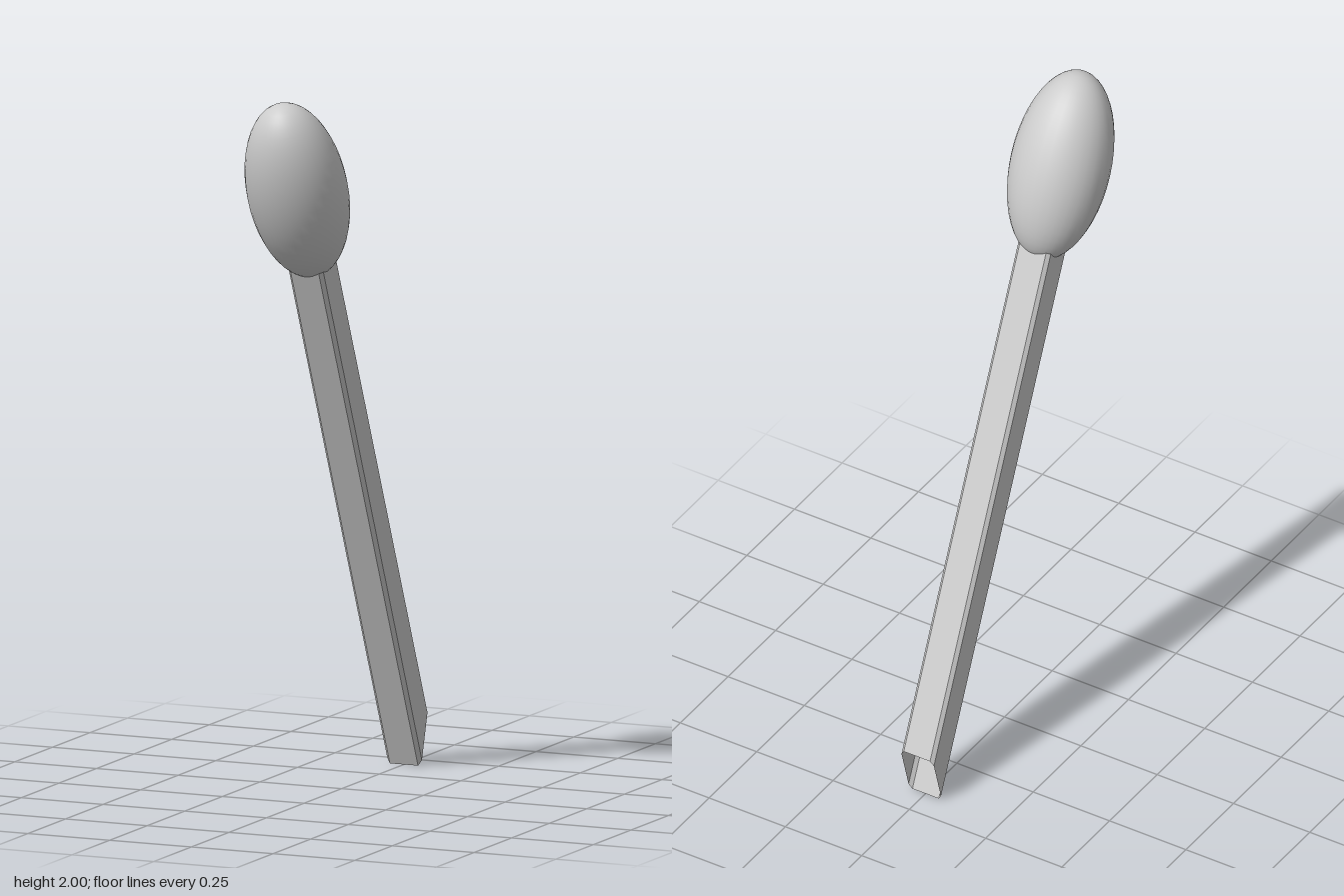
import * as THREE from 'three';

const material = () => new THREE.MeshStandardMaterial({ color: 0xcccccc });

// Hollow square stick with chamfered edges and a slanted, open lower end
function stickGeometry(half, chamfer, top, bottom, slant) {
  const h = half, c = half - chamfer;
  const section = [[-c, h], [c, h], [h, c], [h, -c], [c, -h], [-c, -h], [-h, -c], [-h, c]];
  const low = ([x, z]) => [x, bottom - slant * z, z];
  const high = ([x, z]) => [x, top, z];
  const positions = [];
  section.forEach((a, i) => {
    const b = section[(i + 1) % section.length];
    positions.push(...low(a), ...low(b), ...high(b), ...low(a), ...high(b), ...high(a));
  });
  const geometry = new THREE.BufferGeometry();
  geometry.setAttribute('position', new THREE.Float32BufferAttribute(positions, 3));
  geometry.computeVertexNormals();
  return geometry;
}

export function createModel() {
  const model = new THREE.Group();
  model.name = 'matchstick';

  // Both parts share one leaning axis, with its origin at the centre of the head
  const leaning = new THREE.Group();
  leaning.name = 'leaningMatch';
  leaning.position.set(0, 1.74, 0.295);
  leaning.rotation.x = THREE.MathUtils.degToRad(23.8);
  model.add(leaning);

  // Egg-shaped head
  const head = new THREE.Mesh(new THREE.SphereGeometry(1, 32, 24).scale(0.142, 0.277, 0.138), material());
  head.name = 'head';
  leaning.add(head);

  // Stick, its upper end buried in the head
  const stickMaterial = material();
  stickMaterial.side = THREE.DoubleSide;
  const stick = new THREE.Mesh(stickGeometry(0.053, 0.01, -0.2, -1.815, 1.2), stickMaterial);
  stick.name = 'stick';
  leaning.add(stick);

  return model;
}
